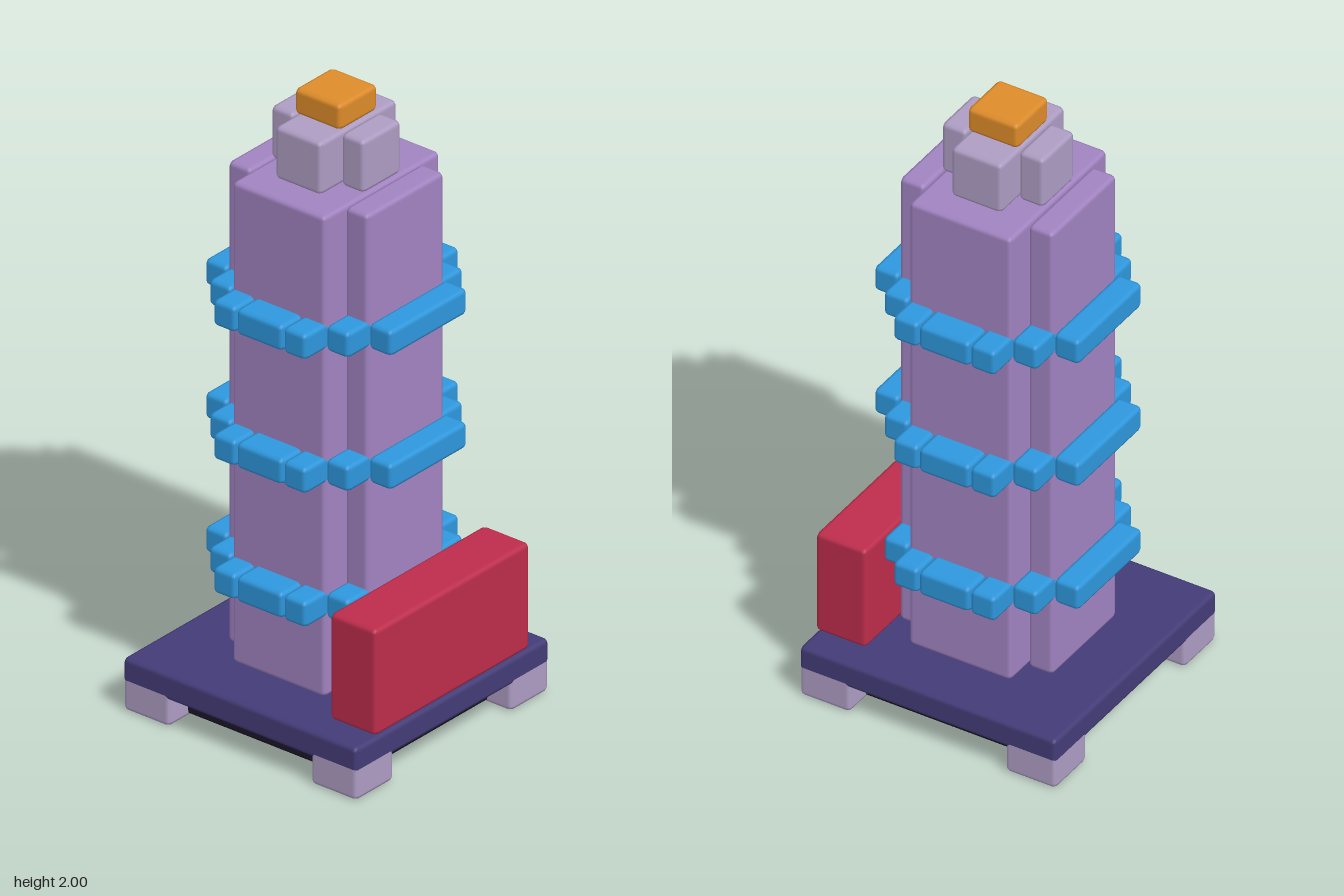
import * as THREE from 'three';
import { RoundedBoxGeometry } from 'three/addons/geometries/RoundedBoxGeometry.js';

const U = 2 / 23; // one block of the building grid
const GAP = 0.0015; // hairline seam around every block
const BEVEL = 0.015;

const paint = (color) => new THREE.MeshStandardMaterial({ color });
const mats = {
  navy: paint(0x443c78), dark: paint(0x1c1628), lavender: paint(0xae9dc4),
  purple: paint(0xa284c2), blue: paint(0x2e98de), red: paint(0xbe2d4c), orange: paint(0xde8c2a),
};

// Bevelled block given by its limits in grid units
function block(parent, name, mat, [x0, x1], [y0, y1], [z0, z1]) {
  const size = [x1 - x0, y1 - y0, z1 - z0].map((s) => s * U - 2 * GAP);
  const mesh = new THREE.Mesh(new RoundedBoxGeometry(...size, 1, BEVEL), mat);
  mesh.name = name;
  mesh.position.set((x0 + x1) / 2 * U, (y0 + y1) / 2 * U, (z0 + z1) / 2 * U);
  parent.add(mesh);
}

// Block repeated at the front and at the back
function frontAndBack(parent, name, mat, x, y, [z0, z1]) {
  block(parent, name + 'Front', mat, x, y, [z0, z1]);
  block(parent, name + 'Back', mat, x, y, [-z1, -z0]);
}

function createGroup(parent, name) {
  const group = new THREE.Group();
  group.name = name;
  parent.add(group);
  return group;
}

export function createModel() {
  const model = new THREE.Group();
  model.name = 'blockTower';

  // Base: slab, recessed dark underside and four corner feet
  const base = createGroup(model, 'base');
  block(base, 'baseSlab', mats.navy, [-5, 5], [1, 2], [-5, 5]);
  block(base, 'underside', mats.dark, [-4, 4], [0.08, 1.3], [-4, 4]);
  for (const x of [[-5, -3], [3, 5]]) {
    frontAndBack(base, x[0] < 0 ? 'rightFoot' : 'leftFoot', mats.lavender,
      x.map((v) => v * 0.998), [0, 1.9], [3 * 0.998, 5 * 0.998]);
  }

  // Tower shaft with a raised panel at front and back
  const tower = createGroup(model, 'tower');
  block(tower, 'shaft', mats.purple, [-3, 3], [2, 20], [-2, 2]);
  frontAndBack(tower, 'panel', mats.purple, [-2, 2], [2, 20], [2, 3]);

  // Three stepped rings; the panel at the base replaces the lowest front bar
  for (const y of [5, 10, 15]) {
    const ring = createGroup(model, 'ring');
    const h = [y, y + 1];
    block(ring, 'middleBar', mats.blue, [-4, 4], h, [-1, 1]);
    frontAndBack(ring, 'sideBar', mats.blue, [-4, 4], h, [1, 2]);
    frontAndBack(ring, 'cornerBar', mats.blue, [-3, 3], h, [2, 3]);
    block(ring, 'backBar', mats.blue, [-2, 2], h, [-4, -3]);
    if (y > 5) block(ring, 'frontBar', mats.blue, [-2, 2], h, [3, 4]);
  }

  // Red wall in front of the tower
  block(model, 'frontWall', mats.red, [-4, 4], [2, 6], [3, 5]);

  // Cross-shaped collar and cap
  const crown = createGroup(model, 'crown');
  block(crown, 'collar', mats.lavender, [-2, 2], [20, 22], [-1, 1]);
  frontAndBack(crown, 'collar', mats.lavender, [-1, 1], [20, 22], [1, 2]);
  block(crown, 'cap', mats.orange, [-1, 1], [22, 23], [-1, 1]);

  return model;
}
